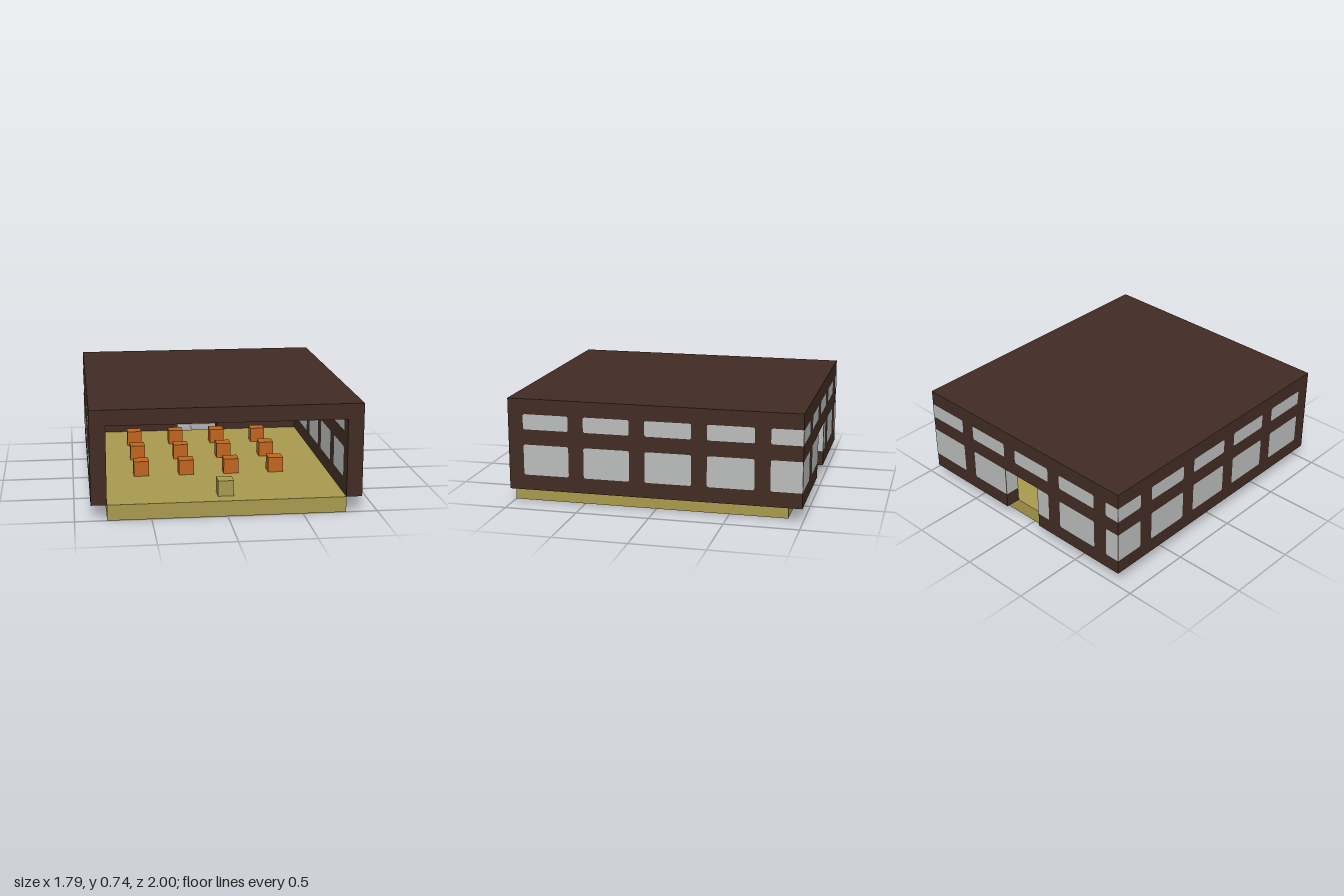
import * as THREE from 'three';

const U = 2 / 19; // one block; everything below is measured in blocks

export function createModel() {
  const mat = (name, color, extra = {}) => {
    const m = new THREE.MeshStandardMaterial({ color, ...extra });
    m.name = name;
    return m;
  };
  const brown = mat('dark brown wall', 0x412c23);
  const tan = mat('tan floor', 0xaa9a4e);
  const orange = mat('orange seat', 0xc16620);
  const glass = mat('pale grey glass', 0xbabdbc, { side: THREE.DoubleSide });

  const model = new THREE.Group();
  model.name = 'hall';
  const blocks = new THREE.Group();
  blocks.name = 'blocks';
  blocks.scale.setScalar(U);
  model.add(blocks);

  // Box from its low corner to its high corner: x from -8.5, y from 0, z from -9.5
  const box = (name, m, x0, x1, y0, y1, z0, z1) => {
    const mesh = new THREE.Mesh(new THREE.BoxGeometry(x1 - x0, y1 - y0, z1 - z0), m);
    mesh.position.set((x0 + x1) / 2, (y0 + y1) / 2, (z0 + z1) / 2);
    mesh.name = name;
    blocks.add(mesh);
  };

  // Flat pane with clipped corners on the chosen ends
  const pane = (a0, a1, b0, b1, low, high) => {
    const c = 0.14, l = low ? c : 0, h = high ? c : 0;
    const s = new THREE.Shape();
    s.moveTo(a0 + l, b0);
    s.lineTo(a1 - h, b0);
    if (high) s.quadraticCurveTo(a1, b0, a1, b0 + h);
    s.lineTo(a1, b1 - h);
    if (high) s.quadraticCurveTo(a1, b1, a1 - h, b1);
    s.lineTo(a0 + l, b1);
    if (low) s.quadraticCurveTo(a0, b1, a0, b1 - l);
    s.lineTo(a0, b0 + l);
    if (low) s.quadraticCurveTo(a0, b0, a0 + l, b0);
    return new THREE.ShapeGeometry(s, 3);
  };
  const addPane = (name, geo, x, z) => {
    const mesh = new THREE.Mesh(geo, glass);
    mesh.position.set(x, 0, z);
    mesh.name = name;
    blocks.add(mesh);
  };

  // Shell
  box('floor', tan, -7.5, 7.5, 0, 1, -8.5, 9.5);
  box('roof', brown, -8.5, 8.5, 6, 7, -9.5, 9.5);
  for (const s of [-1, 1]) {
    box('sideWall', brown, s * 8 - 0.5, s * 8 + 0.5, 1, 6, -9.5, 9.5);
  }
  // Back wall around the doorway
  box('backWall', brown, -7.5, -1.5, 1, 4, -9.5, -8.5);
  box('backWall', brown, 1.5, 7.5, 1, 4, -9.5, -8.5);
  box('doorLintel', brown, -7.5, 7.5, 4, 6, -9.5, -8.5);

  const e = 0.02;
  const rows = [[2, 4], [5, 6]];

  // Side windows, inside and outside; the rearmost ones run into the corner
  for (const [b0, b1] of rows) {
    for (const s of [-1, 1]) {
      for (const outer of [true, false]) {
        const x = s * (outer ? 8.5 + e : 7.5 - e);
        for (let k = -1; k < 18; k += 4) {
          const start = Math.max(k, outer ? 0 : 1);
          const end = k + 3;
          const geo = pane(start - 9.5, end - 9.5, b0, b1, k > 0, true);
          geo.rotateY(-Math.PI / 2);
          addPane('sideWindow', geo, x, 0);
        }
      }
    }
  }

  // Back windows, cut by the corners and, in the lower row, by the doorway
  for (const [b0, b1] of rows) {
    for (const outer of [true, false]) {
      const z = outer ? -9.5 - e : -8.5 + e;
      const lo = outer ? 0 : 1, hi = outer ? 17 : 16;
      for (let i = -2; i < 17; i += 4) {
        const start = Math.max(i, lo);
        let end = Math.min(i + 3, hi);
        if (b0 === 2 && i === 6) end = 7;
        if (end <= start) continue;
        const geo = pane(start - 8.5, end - 8.5, b0, b1, start === i, end === i + 3 && end < 17);
        addPane('backWindow', geo, 0, z);
      }
    }
  }

  // Glazed door jambs
  for (const s of [-1, 1]) {
    const geo = pane(-9.5, -8.5, 2, 4, false, false);
    geo.rotateY(-Math.PI / 2);
    addPane('doorJambGlass', geo, s * (1.5 - e), 0);
  }

  // Rows of seats
  for (const k of [4, 8, 12]) {
    for (const i of [3, 6, 9, 12]) {
      box('seat', orange, i - 8.5, i - 7.5, 1, 2, k - 9.5, k - 8.5);
    }
  }

  // Lectern near the open front
  box('lectern', tan, -0.5, 0.5, 1, 2, 7.5, 8.5);

  // Ceiling lamps
  for (const k of [4, 12]) {
    for (const i of [4, 10]) {
      box('ceilingLamp', tan, i - 8.5, i - 7.5, 5, 6, k - 9.5, k - 8.5);
    }
  }

  return model;
}
